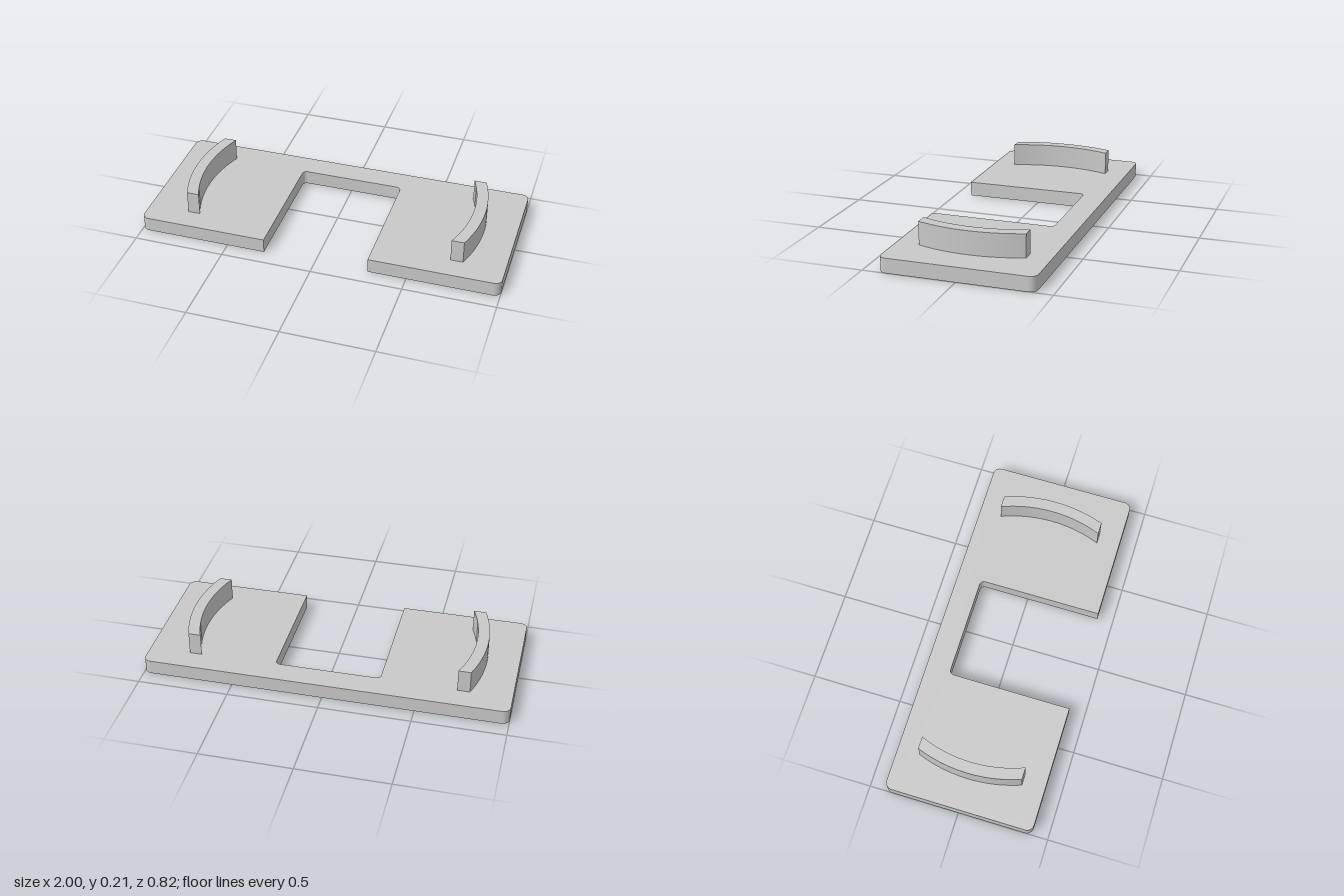
import * as THREE from 'three';
import { toCreasedNormals } from 'three/addons/utils/BufferGeometryUtils.js';

const W = 1, D = 0.412, PLATE_H = 0.08;       // half width, half depth, thickness
const NOTCH_X = 0.29, NOTCH_BACK = 0.277;     // notch half width, depth of its back wall
const CORNER_R = 0.04, NOTCH_R = 0.025;
const RIDGE_TOP = 0.207, RIDGE_Z = 0.287, RIDGE_OUT = 0.825, RIDGE_IN = 0.762;

// Extrude a plan outline (shape y = -z) upward between two heights
function extrudeUp(shape, y0, y1) {
  const geo = new THREE.ExtrudeGeometry(shape, { depth: y1 - y0, bevelEnabled: false, curveSegments: 16 });
  geo.rotateX(-Math.PI / 2).translate(0, y0, 0);
  return toCreasedNormals(geo, 0.6);
}

// U-shaped plate, open to the front, with rounded outer and inner corners
function plateShape() {
  const s = new THREE.Shape(), r = CORNER_R, n = NOTCH_R, H = Math.PI / 2;
  s.moveTo(NOTCH_X, -D);
  s.lineTo(W - r, -D);
  s.absarc(W - r, -D + r, r, -H, 0, false);
  s.absarc(W - r, D - r, r, 0, H, false);
  s.absarc(-W + r, D - r, r, H, 2 * H, false);
  s.absarc(-W + r, -D + r, r, 2 * H, 3 * H, false);
  s.lineTo(-NOTCH_X, -D);
  s.absarc(-NOTCH_X + n, NOTCH_BACK - n, n, 2 * H, H, true);
  s.absarc(NOTCH_X - n, NOTCH_BACK - n, n, H, 0, true);
  s.closePath();
  return s;
}

// Curved ridge: two arcs about the plate centre, with ends cut square to z
function ridgeShape(turn) {
  const s = new THREE.Shape();
  const a = Math.asin(RIDGE_Z / RIDGE_OUT), b = Math.asin(RIDGE_Z / RIDGE_IN);
  s.absarc(0, 0, RIDGE_OUT, turn - a, turn + a, false);
  s.absarc(0, 0, RIDGE_IN, turn + b, turn - b, true);
  s.closePath();
  return s;
}

export function createModel() {
  const group = new THREE.Group();
  group.name = 'notchedPlate';
  const grey = new THREE.MeshStandardMaterial({ color: 0xc8c8c8 });
  grey.name = 'grey';

  const add = (name, geo) => {
    const mesh = new THREE.Mesh(geo, grey);
    mesh.name = name;
    group.add(mesh);
  };

  add('basePlate', extrudeUp(plateShape(), 0, PLATE_H));
  add('leftRidge', extrudeUp(ridgeShape(0), PLATE_H, RIDGE_TOP));
  add('rightRidge', extrudeUp(ridgeShape(Math.PI), PLATE_H, RIDGE_TOP));
  return group;
}
